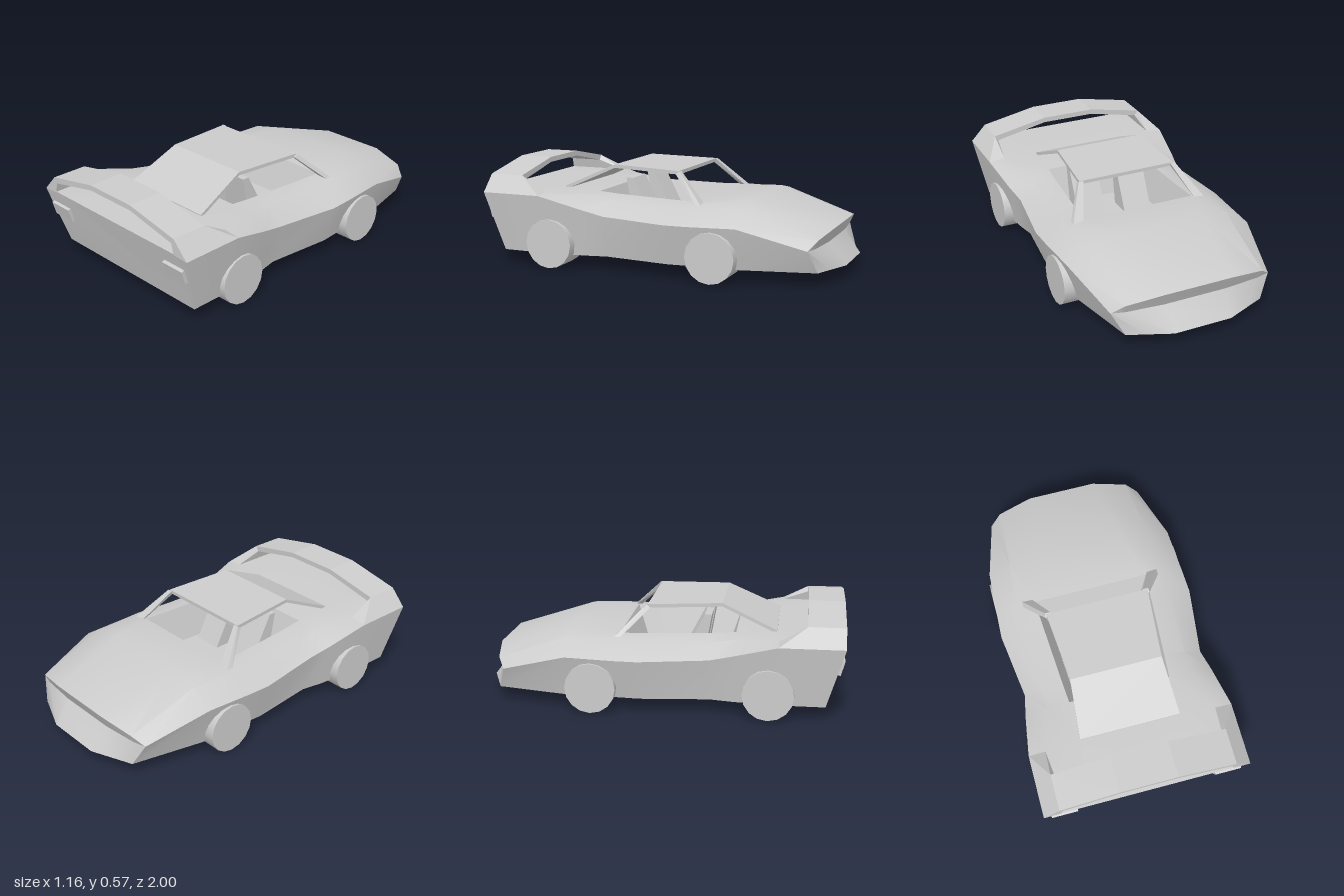
import * as THREE from 'three';
import { toCreasedNormals } from 'three/addons/utils/BufferGeometryUtils.js';
import { ConvexGeometry } from 'three/addons/geometries/ConvexGeometry.js';

const grey = new THREE.MeshStandardMaterial({ color: 0xcccccc });
const greyDouble = new THREE.MeshStandardMaterial({ color: 0xcccccc, side: THREE.DoubleSide });

export function createModel() {
  const car = new THREE.Group();
  const add = (name, geometry, material = grey) => {
    const mesh = new THREE.Mesh(geometry, material);
    mesh.name = name;
    car.add(mesh);
    return mesh;
  };
  const flip = ([x, y, z]) => [-x, y, z];
  const hull = (name, pts) => add(name, new ConvexGeometry(pts.map(p => new THREE.Vector3(...p))));

  // Collects polygons as triangles, dropping collapsed ones
  const faceBuilder = () => {
    const pos = [];
    return {
      poly(...p) {
        for (let k = 1; k < p.length - 1; k++) {
          const t = new THREE.Triangle(...[p[0], p[k], p[k + 1]].map(v => new THREE.Vector3(...v)));
          if (t.getArea() > 1e-7) pos.push(...p[0], ...p[k], ...p[k + 1]);
        }
      },
      geometry(crease) {
        const g = new THREE.BufferGeometry();
        g.setAttribute('position', new THREE.Float32BufferAttribute(pos, 3));
        return toCreasedNormals(g, crease);
      },
    };
  };

  // Body sections, tail to nose: z, bottom x, belt x/y, shoulder x/y, inner x/y
  const sections = [
    [1, 0.52, 0.58, 0.41, 0.49, 0.42, 0.29, 0.42],
    [0.65, 0.52, 0.58, 0.41, 0.49, 0.42, 0.29, 0.42],
    [0.41, 0.495, 0.545, 0.345, 0.42, 0.4, 0.29, 0.41],
    [0.28, 0.47, 0.52, 0.31, 0.42, 0.385, 0.3, 0.403],
    [-0.1, 0.51, 0.57, 0.3, 0.43, 0.38, 0.325, 0.395],
    [-0.23, 0.5, 0.565, 0.3, 0.44, 0.385, 0.335, 0.395],
    [-0.5, 0.49, 0.55, 0.305, 0.42, 0.385, 0.25, 0.42],
  ];
  const halves = sections.map(([z, xb, xk, yk, xs, ys, xi, yi], i) =>
    [[xb, 0.075, i ? z : 0.905], [xk, yk, z], [xs, ys, z], [xi, yi, z]]);
  // Nose: upper lip, recessed crease, lower lip
  const corner = [0.4, 0.075, -0.905], belt = [0.465, 0.2, -0.865];
  halves.push(
    [corner, belt, [0.4, 0.25, -0.905], [0.2, 0.285, -0.945]],
    [corner, belt, [0.39, 0.2, -0.885], [0.18, 0.2, -0.905]],
    [corner, corner, [0.3, 0.075, -0.945], [0.165, 0.075, -1]],
  );
  const rings = halves.map(h => [...h, ...h.map(flip).reverse()]);
  const body = faceBuilder();
  for (let i = 0; i < rings.length - 1; i++) {
    for (let j = 0; j < 8; j++) {
      if (j === 3 && i >= 2 && i <= 4) continue; // cockpit opening
      const k = (j + 1) % 8;
      body.poly(rings[i][j], rings[i + 1][j], rings[i + 1][k], rings[i][k]);
    }
  }
  body.poly(...rings[0]);
  body.poly(...rings.at(-1).slice().reverse());
  add('body', body.geometry(0.55));

  // Cockpit tub with sloping walls
  const rimSide = halves.slice(2, 6).map(h => h[3]);
  const rim = [...rimSide, ...rimSide.map(flip).reverse()];
  const floor = rim.map(([x, , z]) => [x * 0.82, 0.2, 0.09 + (z - 0.09) * 0.78]);
  const tub = faceBuilder();
  rim.forEach((p, i) => {
    const n = (i + 1) % rim.length;
    tub.poly(p, rim[n], floor[n], floor[i]);
  });
  tub.poly(...floor);
  add('cockpitTub', tub.geometry(0.4), greyDouble);

  // Roof and rear window slabs
  const slab = (name, [a, b]) => hull(name, [a, b].flatMap(([x, y, z]) =>
    [[x, y, z], [-x, y, z], [x, y - 0.02, z], [-x, y - 0.02, z]]));
  slab('roof', [[0.295, 0.552, -0.08], [0.26, 0.563, 0.33]]);
  slab('rearWindow', [[0.26, 0.563, 0.33], [0.285, 0.425, 0.635]]);

  // Windscreen pillars and seats
  const pillar = [
    [0.35, 0.38, -0.26], [0.41, 0.38, -0.26], [0.36, 0.38, -0.225], [0.41, 0.38, -0.225],
    [0.27, 0.552, -0.085], [0.3, 0.552, -0.085], [0.275, 0.535, -0.065], [0.305, 0.535, -0.065],
  ];
  const seat = [0.06, 0.23].flatMap(x =>
    [[x, 0.487, 0.27], [x, 0.487, 0.23], [x, 0.2, 0.08], [x, 0.2, 0.22]]);

  // Spoiler buttress tapering forward into the deck
  const buttress = [[0.58, 0.41, 0.8], [0.49, 0.505, 0.8], [0.47, 0.475, 0.8],
    [0.485, 0.41, 0.8], [0.58, 0.41, 0.65], [0.485, 0.42, 0.65]];
  for (const [side, mirror] of [['left', p => p], ['right', flip]]) {
    hull(side + 'WindscreenPillar', pillar.map(mirror));
    hull(side + 'Seat', seat.map(mirror));
    hull(side + 'SpoilerButtress', buttress.map(mirror));
  }

  // Arched spoiler
  const outer = [[0.58, 0.41], [0.49, 0.505], [0.16, 0.57]];
  const inner = [[0.485, 0.415], [0.47, 0.475], [0.16, 0.54]];
  const arch = pts => [...pts, ...pts.map(([x, y]) => [-x, y]).reverse()];
  const outline = [...arch(outer), ...arch(inner).reverse()].map(p => new THREE.Vector2(...p));
  add('spoiler', new THREE.ExtrudeGeometry(new THREE.Shape(outline), { depth: 0.2, bevelEnabled: false })
    .translate(0, 0, 0.8));

  // Wheels and tail lights
  const wheel = new THREE.CylinderGeometry(0.139, 0.139, 0.175, 16).rotateZ(Math.PI / 2);
  const light = new THREE.BoxGeometry(0.148, 0.08, 0.03).rotateX(0.276);
  for (const [side, s] of [['left', 1], ['right', -1]]) {
    add(side + 'FrontWheel', wheel).position.set(s * 0.4775, 0.139, -0.36);
    add(side + 'RearWheel', wheel).position.set(s * 0.4775, 0.139, 0.6);
    add(side + 'TailLight', light).position.set(s * 0.464, 0.302, 0.972);
  }
  return car;
}
